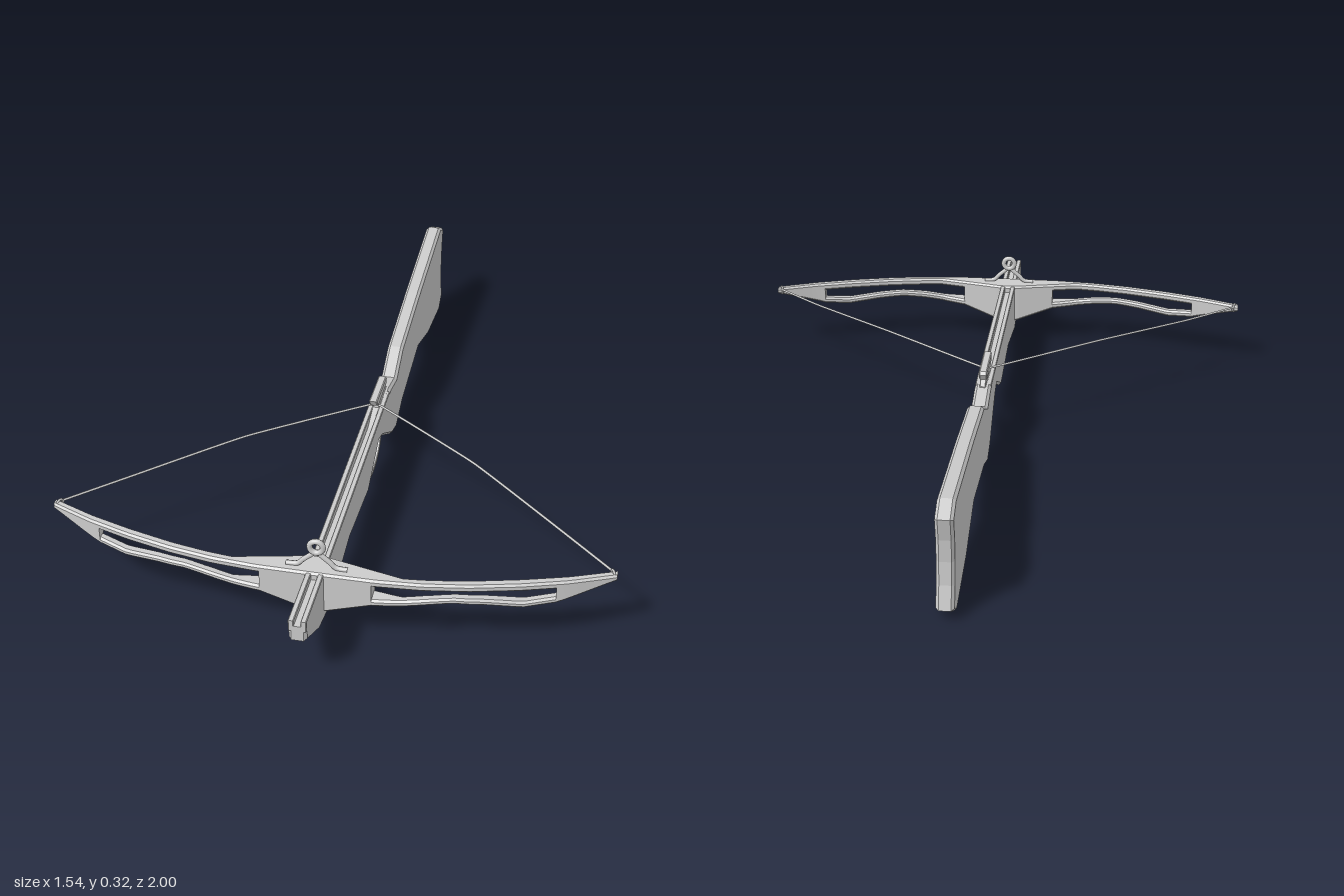
import * as THREE from 'three';
import { toCreasedNormals } from 'three/addons/utils/BufferGeometryUtils.js';

const grey = new THREE.MeshStandardMaterial({ color: 0xcccccc });

function add(parent, name, geometry) {
  const mesh = new THREE.Mesh(geometry, grey);
  mesh.name = name;
  parent.add(mesh);
  return mesh;
}

// Side outline given as [z, y], extruded across x with chamfered edges
function sidePlate(points, width, bevel, x = 0) {
  const shape = new THREE.Shape(points.map(([z, y]) => new THREE.Vector2(z, y)));
  const geo = new THREE.ExtrudeGeometry(shape, {
    depth: width - 2 * bevel, bevelEnabled: bevel > 0, bevelThickness: bevel,
    bevelSize: bevel, bevelOffset: -bevel, bevelSegments: 1,
  });
  geo.translate(0, 0, -(width - 2 * bevel) / 2);
  geo.rotateY(-Math.PI / 2);
  return geo.translate(x, 0, 0);
}

// Straight-line interpolation through a table of [x, value]
function table(rows) {
  return (x) => {
    const a = Math.abs(x);
    let i = 1;
    while (i < rows.length - 1 && a > rows[i][0]) i++;
    const [x0, v0] = rows[i - 1], [x1, v1] = rows[i];
    return v0 + (v1 - v0) * THREE.MathUtils.clamp((a - x0) / (x1 - x0), 0, 1);
  };
}

// Chamfered bar running along x between lower/upper and back/front limits
function bar(x0, x1, steps, low, high, back, front) {
  const pos = [], index = [], n = 8;
  for (let i = 0; i <= steps; i++) {
    const x = x0 + (x1 - x0) * i / steps;
    const b = low(x), t = high(x), k = back(x), f = front(x);
    const c = Math.min(0.006, (t - b) * 0.3, (f - k) * 0.3);
    const ring = [[t, k + c], [t, f - c], [t - c, f], [b + c, f],
      [b, f - c], [b, k + c], [b + c, k], [t - c, k]];
    ring.forEach(([y, z]) => pos.push(x, y, z));
    if (i < steps) {
      for (let j = 0; j < n; j++) {
        const a = i * n + j, d = i * n + (j + 1) % n;
        index.push(a, d, d + n, a, d + n, a + n);
      }
    }
  }
  const last = steps * n;
  for (let j = 1; j < n - 1; j++) index.push(0, j + 1, j, last, last + j, last + j + 1);
  const geo = new THREE.BufferGeometry();
  geo.setAttribute('position', new THREE.Float32BufferAttribute(pos, 3));
  geo.setIndex(index);
  return toCreasedNormals(geo, 0.5);
}

function tube(points, radius, segments, sides = 8, tension = 0.5) {
  const curve = new THREE.CatmullRomCurve3(
    points.map((p) => new THREE.Vector3(...p)), false, 'catmullrom', tension);
  return new THREE.TubeGeometry(curve, segments, radius, sides);
}

export function createModel() {
  const model = new THREE.Group();
  model.name = 'crossbow';

  // Stock: fore-end, grip and butt in one outline
  add(model, 'stock', sidePlate([
    [1, 0.186], [0.1, 0.19], [0.03, 0.216], [-0.08, 0.22], [-0.17, 0.2], [-0.27, 0.25],
    [-0.55, 0.286], [-0.94, 0.325], [-1, 0.297], [-0.983, 0.23], [-0.978, 0.165],
    [-0.983, 0.1], [-1, 0.035], [-0.945, 0.002], [-0.73, 0.03], [-0.54, 0.09],
    [-0.27, 0.055], [-0.17, 0.018], [-0.1, 0.038], [0, 0.1], [0.05, 0.13], [0.1, 0.145],
    [0.19, 0.1], [0.25, 0.07], [0.5, 0.09], [0.75, 0.045], [0.87, 0.068], [1, 0.14],
  ], 0.048, 0.008));

  // Rails either side of the bolt groove
  for (const s of [-1, 1]) {
    add(model, 'grooveRail', sidePlate([
      [1, 0.17], [1, 0.203], [0.6, 0.207], [-0.06, 0.219], [-0.06, 0.19], [0.1, 0.17],
    ], 0.015, 0.002, s * 0.0165));
  }

  // Bow: solid centre, slotted limbs and pointed tips
  const bow = new THREE.Group();
  bow.name = 'bow';
  model.add(bow);
  const top = () => 0.208;
  const bottom = table([[0, 0.08], [0.03, 0.083], [0.15, 0.121], [0.22, 0.126],
    [0.29, 0.138], [0.36, 0.146], [0.44, 0.141], [0.54, 0.129], [0.62, 0.138], [0.77, 0.19]]);
  const slotTop = () => 0.185;
  const slotBottom = table([[0.15, 0.142], [0.22, 0.146], [0.29, 0.157], [0.36, 0.164],
    [0.44, 0.16], [0.54, 0.149], [0.62, 0.158]]);
  const front = table([[0, 0.814], [0.16, 0.813], [0.28, 0.804], [0.4, 0.784],
    [0.53, 0.752], [0.65, 0.714], [0.77, 0.664]]);
  const back = table([[0, 0.735], [0.03, 0.737], [0.13, 0.76], [0.23, 0.782], [0.3, 0.774],
    [0.4, 0.756], [0.53, 0.723], [0.65, 0.686], [0.77, 0.638]]);
  add(bow, 'bowCentre', bar(-0.15, 0.15, 20, bottom, top, back, front));
  for (const s of [-1, 1]) {
    const span = (a, b) => (s > 0 ? [a, b] : [-b, -a]);
    add(bow, 'upperLimb', bar(...span(0.15, 0.62), 24, slotTop, top, back, front));
    add(bow, 'lowerLimb', bar(...span(0.15, 0.62), 24, bottom, slotBottom, back, front));
    add(bow, 'limbTip', bar(...span(0.62, 0.77), 6, bottom, top, back, front));
  }

  // Drawn string, with a loop round each tip
  const half = [[0.758, 0.204, 0.643], [0.6, 0.211, 0.5], [0.33, 0.23, 0.27], [0.02, 0.23, 0.04]];
  const mirrored = half.map(([x, y, z]) => [-x, y, z]).reverse();
  add(model, 'bowString', tube([...half, ...mirrored], 0.0035, 80, 6, 0.2));
  for (const s of [-1, 1]) {
    const loop = add(model, 'stringLoop', new THREE.TorusGeometry(0.012, 0.0035, 6, 14));
    loop.position.set(s * 0.758, 0.2, 0.649);
    loop.rotation.y = Math.PI / 2 + s * 0.4;
  }

  // Latch that holds the string
  add(model, 'latchCap', sidePlate([
    [0.072, 0.265], [-0.07, 0.265], [-0.078, 0.255], [-0.068, 0.238],
    [0.045, 0.236], [0.06, 0.244],
  ], 0.024, 0.003));
  add(model, 'latchBase', sidePlate([
    [0.03, 0.205], [0.022, 0.242], [-0.06, 0.242], [-0.085, 0.222], [-0.085, 0.205],
  ], 0.018, 0.002));

  // Trigger guard strap and trigger
  const guardPath = new THREE.CatmullRomCurve3([[0.193, 0.105], [0.185, 0.075], [0.155, 0.054],
    [0.1, 0.048], [0.045, 0.06], [0.012, 0.085], [0, 0.112]]
    .map(([z, y]) => new THREE.Vector3(0, y, z))).getPoints(24);
  const centre = new THREE.Vector3(0, 0.11, 0.097);
  const offset = (amount) => guardPath.map((p) => {
    const d = p.clone().sub(centre).normalize();
    return [p.z + d.z * amount, p.y + d.y * amount];
  });
  add(model, 'triggerGuard', sidePlate([...offset(0.006), ...offset(-0.006).reverse()], 0.022, 0.002));
  add(model, 'trigger', sidePlate([
    [0.025, 0.14], [0.032, 0.115], [0.05, 0.094], [0.085, 0.08], [0.088, 0.088],
    [0.066, 0.105], [0.058, 0.122], [0.06, 0.145],
  ], 0.014, 0.002));

  // Ring sight on two splayed feet
  const sight = new THREE.Group();
  sight.name = 'ringSight';
  sight.position.z = 0.785;
  model.add(sight);
  const ring = add(sight, 'sightRing', new THREE.TorusGeometry(0.018, 0.008, 8, 20));
  ring.position.y = 0.273;
  for (const s of [-1, 1]) {
    add(sight, 'sightLeg', tube([[s * 0.082, 0.21, 0], [s * 0.052, 0.213, 0],
      [s * 0.034, 0.23, 0], [s * 0.008, 0.252, 0]], 0.007, 14));
  }

  return model;
}
